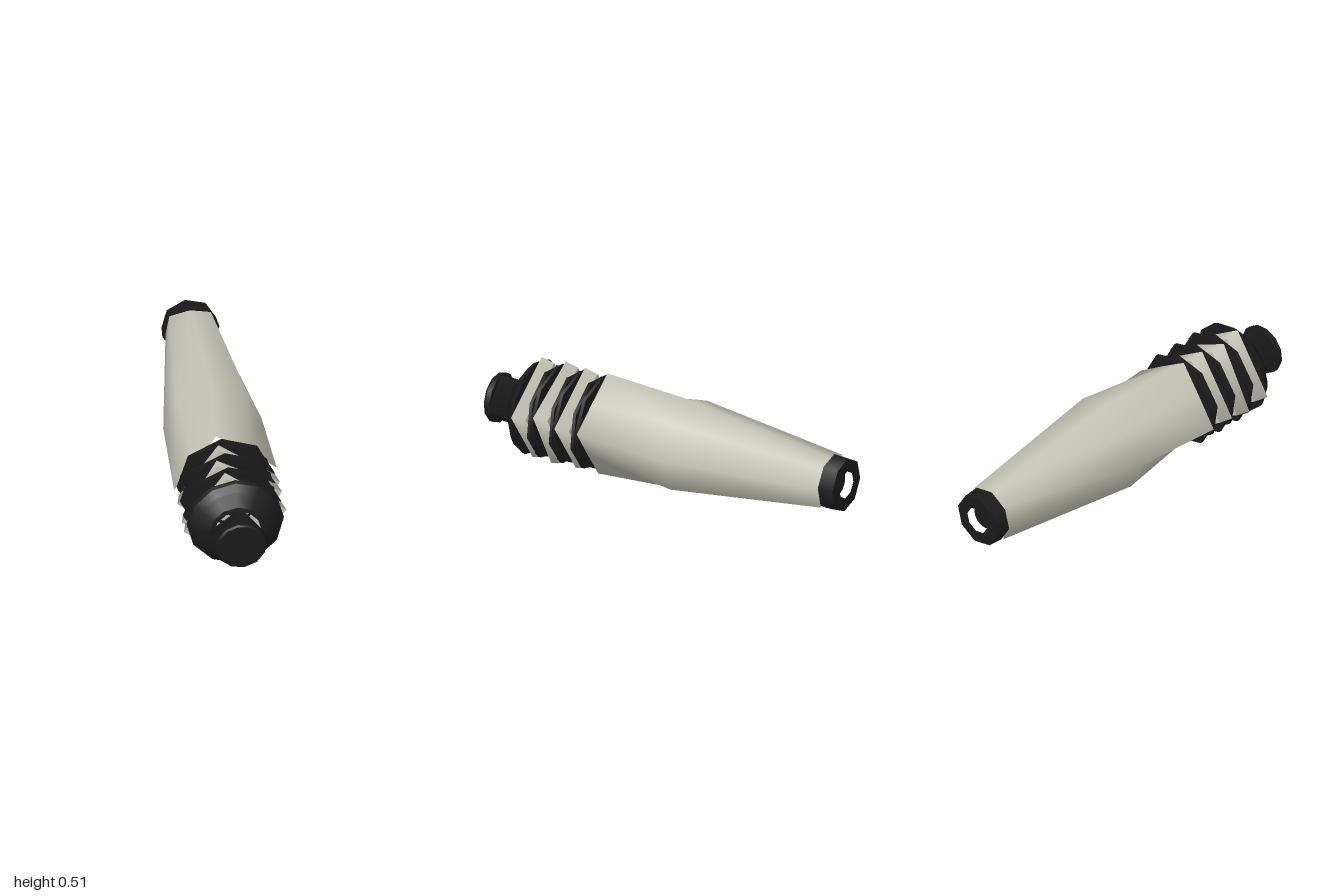
import * as THREE from 'three';
import { mergeGeometries, mergeVertices } from 'three/addons/utils/BufferGeometryUtils.js';

const light = new THREE.MeshStandardMaterial({ color: 0xc4c3b6 });
light.name = 'warm grey';
const dark = new THREE.MeshStandardMaterial({ color: 0x1a1a1a });
dark.name = 'black';

// Turned part along z. Each strip is a list of [radius, z] and is smooth within itself;
// strips meet in sharp edges. Strips run back to front on the outside.
function turned(name, material, sides, degrees, strips) {
  const start = THREE.MathUtils.degToRad(90 + degrees);
  const parts = strips.map((strip) => {
    const points = strip.map(([r, z]) => new THREE.Vector2(r, z));
    return new THREE.LatheGeometry(points, sides, start);
  });
  const mesh = new THREE.Mesh(mergeGeometries(parts).rotateX(Math.PI / 2), material);
  mesh.name = name;
  return mesh;
}

// Washer-like ring with a tapered rim
function ring(name, material, sides, degrees, inner, back, front) {
  return turned(name, material, sides, degrees, [
    [[inner, back[1]], back], [back, front], [front, [inner, front[1]]],
  ]);
}

// Tube lofted through eight-point sections: corners and the points between them
// have their own radii, so a section may be square or octagonal.
function loft(name, material, sections) {
  const positions = [];
  const index = [];
  sections.forEach(({ z, corner, between, turn }, row) => {
    for (let k = 0; k < 8; k++) {
      const angle = THREE.MathUtils.degToRad(turn + 45 * k);
      const r = k % 2 ? between : corner;
      positions.push(r * Math.cos(angle), r * Math.sin(angle), z);
      if (row === 0) continue;
      const next = (k + 1) % 8;
      const a = (row - 1) * 8;
      const b = row * 8;
      index.push(a + k, a + next, b + next, a + k, b + next, b + k);
    }
  });
  const geometry = new THREE.BufferGeometry();
  geometry.setAttribute('position', new THREE.Float32BufferAttribute(positions, 3));
  geometry.setIndex(index);
  const smooth = mergeVertices(geometry);
  smooth.computeVertexNormals();
  const mesh = new THREE.Mesh(smooth, material);
  mesh.name = name;
  return mesh;
}

export function createModel() {
  const model = new THREE.Group();
  model.name = 'handle';
  const axis = new THREE.Group();
  axis.name = 'turnedParts';
  axis.position.y = 0.255;
  model.add(axis);

  // Long grip: square at the rings, eight-sided at the waist, narrow at the back
  axis.add(loft('grip', light, [
    { z: -0.92, corner: 0.126, between: 0.146, turn: 2 },
    { z: -0.1, corner: 0.245, between: 0.247, turn: 2 },
    { z: 0.39, corner: 0.259, between: 0.185, turn: 10 },
  ]));

  // Rear collar with a shallow recess
  axis.add(turned('rearCollar', dark, 8, 8, [
    [[0.07, -1], [0.137, -1]],
    [[0.137, -1], [0.143, -0.92]],
    [[0.143, -0.92], [0.1, -0.92]],
  ]));
  axis.add(turned('recessFloor', dark, 16, 0, [[[0, -0.955], [0.066, -0.955]]]));

  // Core under the rings
  axis.add(turned('core', dark, 12, 0, [[[0.17, 0.39], [0.17, 0.77]]]));

  // Light square rings, each wider at its front edge
  [[0.445, 10], [0.57, 16], [0.692, 10]].forEach(([z, turn], i) => {
    axis.add(ring(`lightRing${i + 1}`, light, 4, turn, 0.15, [0.243, z], [0.259, z + 0.073]));
  });

  // Pairs of thin dark washers in the gaps, rounder than the light rings
  [0.397, 0.424, 0.524, 0.547, 0.649, 0.672].forEach((z, i) => {
    const r = i % 2 ? 0.238 : 0.244;
    axis.add(ring(`darkWasher${i + 1}`, dark, 8, i % 2 ? -14 : 5, 0.16, [r, z], [r, z + 0.017]));
  });

  // Sloped shoulder in front of the rings
  axis.add(turned('shoulder', dark, 12, 0, [
    [[0.15, 0.765], [0.242, 0.765]],
    [[0.242, 0.765], [0.235, 0.785]],
    [[0.235, 0.785], [0.202, 0.815]],
    [[0.202, 0.815], [0.14, 0.858]],
    [[0.14, 0.858], [0.118, 0.862]],
  ]));

  // Front plug: square shank with a round face
  axis.add(turned('plugShank', dark, 4, -7, [[[0.134, 0.855], [0.134, 0.985]]]));
  axis.add(turned('plugFace', dark, 12, 8, [
    [[0.09, 0.965], [0.127, 0.965]],
    [[0.127, 0.965], [0.127, 0.99]],
    [[0.127, 0.99], [0.12, 1]],
    [[0.12, 1], [0, 1]],
  ]));

  return model;
}
